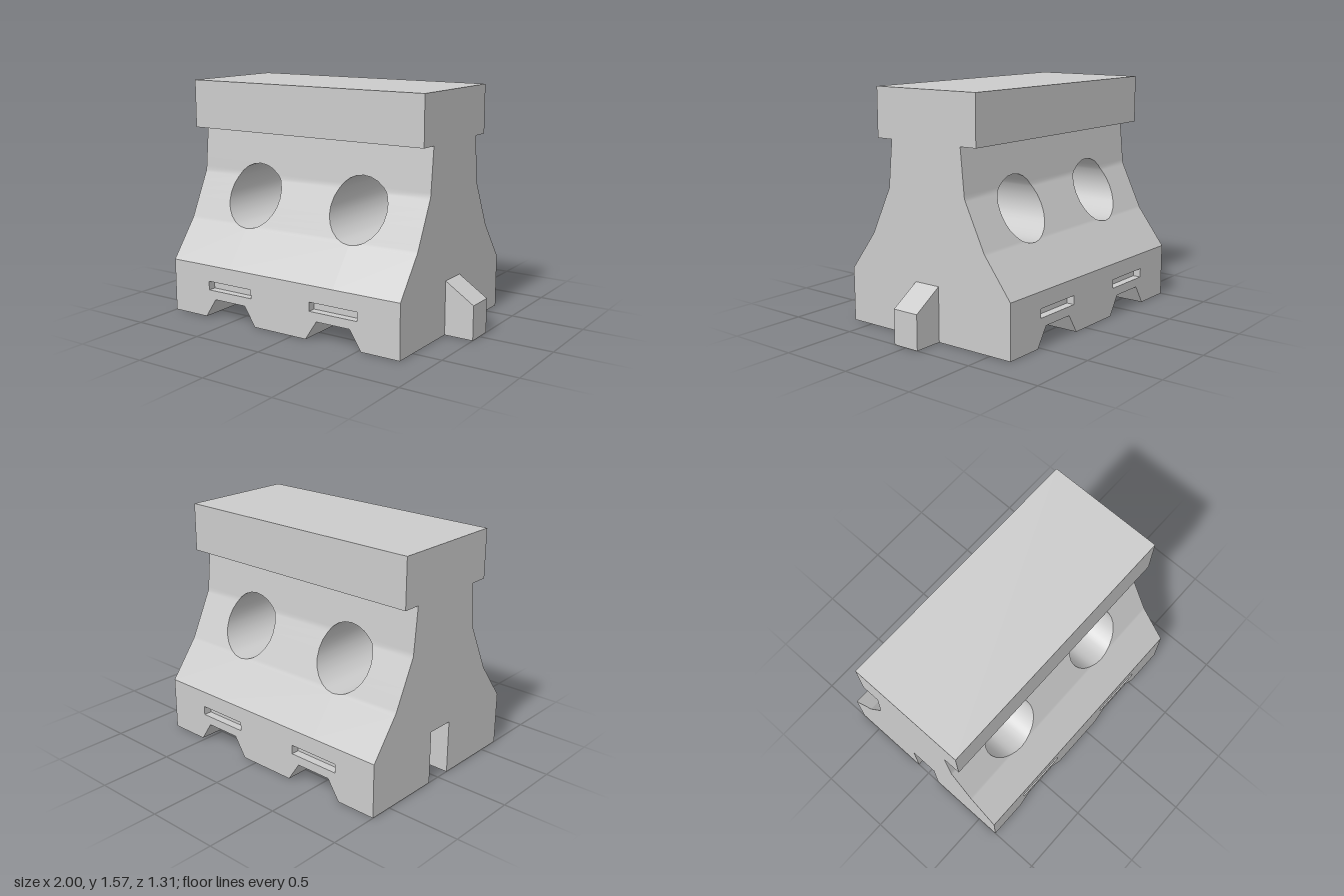
import * as THREE from 'three';
import { toCreasedNormals } from 'three/addons/utils/BufferGeometryUtils.js';

const X0 = -1, X1 = 0.8;                 // ends of the barrier body
const CENTRES = [-0.515, 0.315];         // columns of openings
const PROFILE = [[0, 0.655], [0.36, 0.655], [0.62, 0.46], [0.935, 0.31], [1.245, 0.28]];
const CAP = { y0: 1.245, y1: 1.57, z: 0.4 };
const HOLE = { y: 0.813, r: 0.21 };
const SLOT = { y0: 0.19, y1: 0.25, w: 0.18, depth: 0.055 };
const NOTCH = { h: 0.13, w0: 0.21, w1: 0.125 };
const KEY = { z: 0.095, low: 0.23, high: 0.36 };

const material = new THREE.MeshStandardMaterial({ color: 0xcccccc, side: THREE.DoubleSide });

// half depth of the body at height y
function depthAt(y) {
  for (let i = 1; i < PROFILE.length; i++) {
    const [ya, za] = PROFILE[i - 1], [yb, zb] = PROFILE[i];
    if (y <= yb) return za + (zb - za) * (y - ya) / (yb - ya);
  }
  return PROFILE[PROFILE.length - 1][1];
}

// collects four-cornered faces, optionally mirrored front to back
function surface() {
  const pos = [];
  const quad = (a, b, c, d) => pos.push(...a, ...b, ...c, ...a, ...c, ...d);
  const both = (...p) => {
    quad(...p);
    quad(...p.map(([x, y, z]) => [x, y, -z]).reverse());
  };
  const mesh = (name) => {
    const geo = new THREE.BufferGeometry();
    geo.setAttribute('position', new THREE.Float32BufferAttribute(pos, 3));
    const m = new THREE.Mesh(toCreasedNormals(geo, 0.4), material);
    m.name = name;
    return m;
  };
  return { quad, both, mesh };
}

// heights through the round hole, including the profile's bends
function holeBands() {
  const ys = [0.62, 0.935];
  for (let i = 0; i <= 12; i++) ys.push(HOLE.y - HOLE.r * Math.cos(i * Math.PI / 12));
  ys.sort((a, b) => a - b);
  const half = (y) => Math.sqrt(Math.max(0, HOLE.r ** 2 - (y - HOLE.y) ** 2));
  return ys.slice(1).map((y, i) => [ys[i], half(ys[i]), y, half(y)]);
}

// body walls in horizontal bands: [y, half opening, next y, next half opening]
function buildWalls(holes, notch) {
  const s = surface();
  const bands = [
    notch,
    [NOTCH.h, 0, SLOT.y0, 0],
    [SLOT.y0, SLOT.w, SLOT.y1, SLOT.w],
    [SLOT.y1, 0, 0.36, 0],
    [0.36, 0, HOLE.y - HOLE.r, 0],
    ...holes,
    [HOLE.y + HOLE.r, 0, CAP.y0, 0],
  ];
  for (const [ya, wa, yb, wb] of bands) {
    const edges = (w) => [X0, ...CENTRES.flatMap((c) => [c - w, c + w]), X1];
    const a = edges(wa), b = edges(wb), za = depthAt(ya), zb = depthAt(yb);
    for (let i = 0; i < a.length; i += 2) {
      s.both([a[i], ya, za], [a[i + 1], ya, za], [b[i + 1], yb, zb], [b[i], yb, zb]);
    }
  }
  return s.mesh('bodyWalls');
}

// lining of an opening that runs from front to back
function buildTunnel(c, bands, name, ceiling) {
  const s = surface();
  for (const [ya, wa, yb, wb] of bands) {
    const za = depthAt(ya), zb = depthAt(yb);
    s.quad([c + wa, ya, -za], [c + wa, ya, za], [c + wb, yb, zb], [c + wb, yb, -zb]);
    s.quad([c - wa, ya, za], [c - wa, ya, -za], [c - wb, yb, -zb], [c - wb, yb, zb]);
  }
  if (ceiling) {
    const [, , y, w] = bands[bands.length - 1], z = depthAt(y);
    s.quad([c - w, y, -z], [c + w, y, -z], [c + w, y, z], [c - w, y, z]);
  }
  return s.mesh(name);
}

// shallow closed pockets in the front and back faces
function buildSlots(c) {
  const s = surface();
  const { y0, y1, w, depth } = SLOT, z = depthAt(0), zi = z - depth, l = c - w, r = c + w;
  s.both([l, y0, zi], [r, y0, zi], [r, y1, zi], [l, y1, zi]);
  s.both([l, y0, z], [r, y0, z], [r, y0, zi], [l, y0, zi]);
  s.both([l, y1, zi], [r, y1, zi], [r, y1, z], [l, y1, z]);
  s.both([l, y0, z], [l, y0, zi], [l, y1, zi], [l, y1, z]);
  s.both([r, y0, zi], [r, y0, z], [r, y1, z], [r, y1, zi]);
  return s.mesh('slotPockets');
}

// end panel; the socket end leaves a gap in its lowest band
function buildEnd(x, hasSocket) {
  const s = surface();
  const face = (...p) => s.quad(...(x > 0 ? p : p.reverse()));
  const rows = [...PROFILE, [CAP.y0, CAP.z], [CAP.y1, CAP.z]];
  for (let i = 1; i < rows.length; i++) {
    const [ya, za] = rows[i - 1], [yb, zb] = rows[i];
    if (ya === yb) continue;
    const strips = hasSocket && i === 1
      ? [[-za, -KEY.z, -zb, -KEY.z], [KEY.z, za, KEY.z, zb]]
      : [[-za, za, -zb, zb]];
    for (const [a, b, c, d] of strips) face([x, ya, b], [x, ya, a], [x, yb, c], [x, yb, d]);
  }
  return s.mesh(hasSocket ? 'socketEnd' : 'tongueEnd');
}

// wedge-topped key, open below; turned inside out it lines the socket
function buildKey(x, inside, name) {
  const s = surface();
  const order = (p) => (inside ? p.reverse() : p);
  const { z, low, high } = KEY, t = x + 0.2;
  s.both(...order([[x, 0, z], [t, 0, z], [t, low, z], [x, high, z]]));
  s.quad(...order([[x, high, z], [t, low, z], [t, low, -z], [x, high, -z]]));
  s.quad(...order([[t, 0, z], [t, 0, -z], [t, low, -z], [t, low, z]]));
  return s.mesh(name);
}

// overhanging cap: sides, top and the ledges beneath
function buildCap() {
  const s = surface();
  const { y0, y1, z } = CAP, zi = depthAt(y0);
  s.both([X0, y0, z], [X1, y0, z], [X1, y1, z], [X0, y1, z]);
  s.both([X0, y0, zi], [X1, y0, zi], [X1, y0, z], [X0, y0, z]);
  s.quad([X0, y1, z], [X1, y1, z], [X1, y1, -z], [X0, y1, -z]);
  return s.mesh('topCap');
}

export function createModel() {
  const group = new THREE.Group();
  group.name = 'roadBarrier';
  const holes = holeBands();
  const notch = [0, NOTCH.w0, NOTCH.h, NOTCH.w1];

  group.add(buildWalls(holes, notch), buildCap());
  for (const c of CENTRES) {
    group.add(
      buildTunnel(c, holes, 'roundHole', false),
      buildTunnel(c, [notch], 'baseNotch', true),
      buildSlots(c),
    );
  }
  group.add(
    buildEnd(X1, false),
    buildEnd(X0, true),
    buildKey(X1, false, 'tongue'),
    buildKey(X0, true, 'socket'),
  );
  return group;
}
